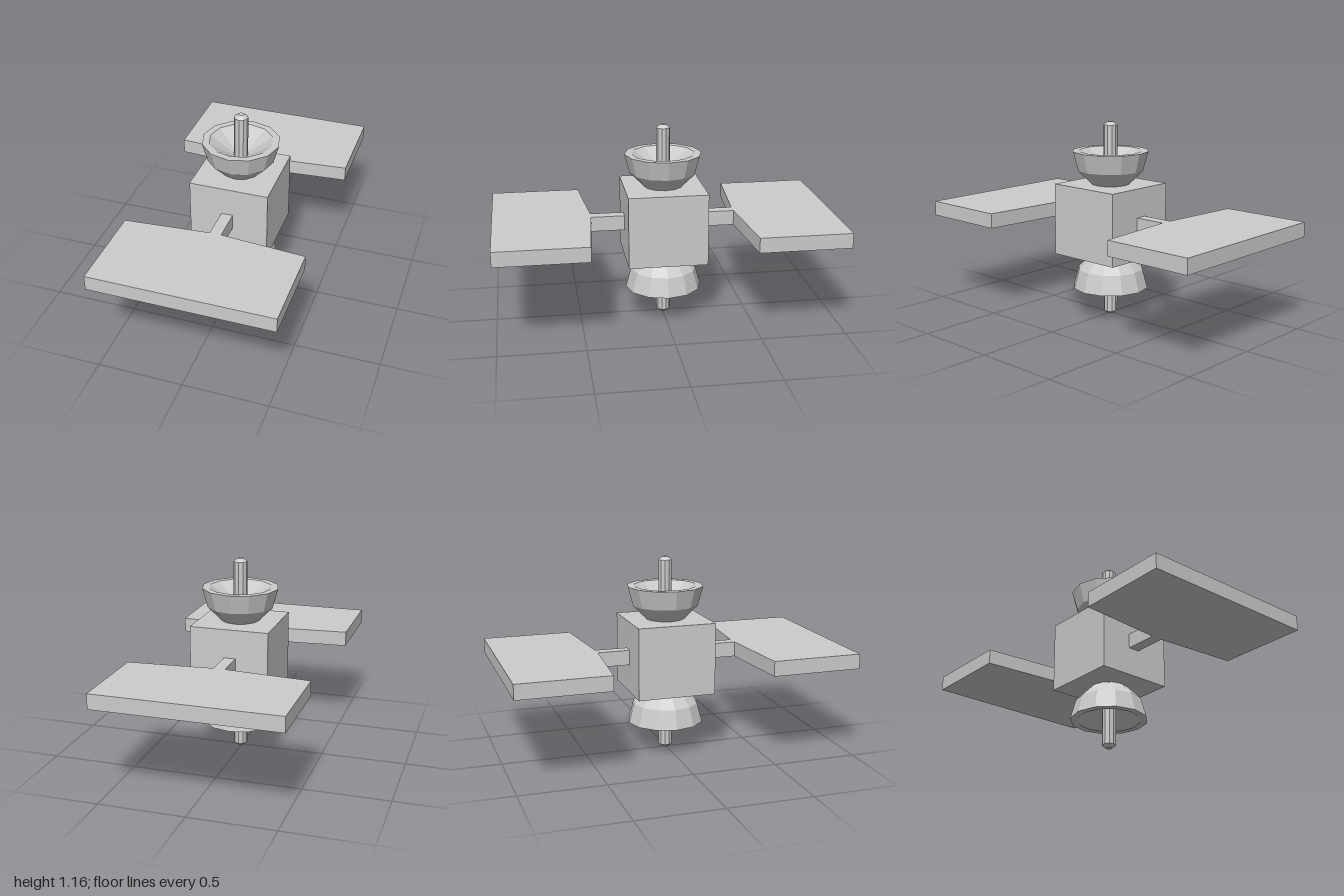
import * as THREE from 'three';

const MID_Y = 0.5825; // plane the upper and lower dishes mirror about
const CX = 0.008, CZ = -0.003; // centre of the body and mast

export function createModel() {
  const group = new THREE.Group();
  const grey = new THREE.MeshStandardMaterial({ color: 0xcccccc, flatShading: true });

  const add = (name, geometry, x = 0, y = 0, z = 0) => {
    const mesh = new THREE.Mesh(geometry, grey);
    mesh.name = name;
    mesh.position.set(x, y, z);
    group.add(mesh);
    return mesh;
  };
  const lathe = (points, sides) =>
    new THREE.LatheGeometry(points.map(([r, y]) => new THREE.Vector2(r, y)), sides);

  // Central box
  add('body', new THREE.BoxGeometry(0.465, 0.424, 0.463), CX, 0.585, CZ);

  // Faceted dishes: outer bowl, flat rim, conical inside
  const dish = lathe([
    [0, 0.2], [0.112, 0.214], [0.195, 0.298], [0.226, 0.411], [0.185, 0.411], [0, 0.29],
  ], 12);
  add('upperDish', dish, CX, MID_Y, CZ);
  add('lowerDish', dish, CX, MID_Y, CZ).rotation.x = Math.PI;

  // Chamfered antenna rods through the dishes
  const rod = lathe([[0, 0.2], [0.041, 0.2], [0.041, 0.563], [0.017, 0.5815], [0, 0.5815]], 10);
  add('upperAntenna', rod, CX, MID_Y, CZ);
  add('lowerAntenna', rod, CX, MID_Y, CZ).rotation.x = Math.PI;

  // Flat panels, each with a tapered inner edge and a neck into the body
  const outline = new THREE.Shape([
    [-0.034, 0.2], [0.034, 0.2], [0.034, 0.425], [0.532, 0.465],
    [0.532, 1], [-0.532, 1], [-0.532, 0.465], [-0.034, 0.425],
  ].map(([x, z]) => new THREE.Vector2(x, z)));
  const panel = new THREE.ExtrudeGeometry(outline, { depth: 0.088, bevelEnabled: false });
  panel.rotateX(Math.PI / 2); // shape y becomes +z, thickness goes down
  add('frontPanel', panel, 0, 0.628, 0);
  add('backPanel', panel, 0, 0.628, 0).rotation.y = Math.PI;

  return group;
}
